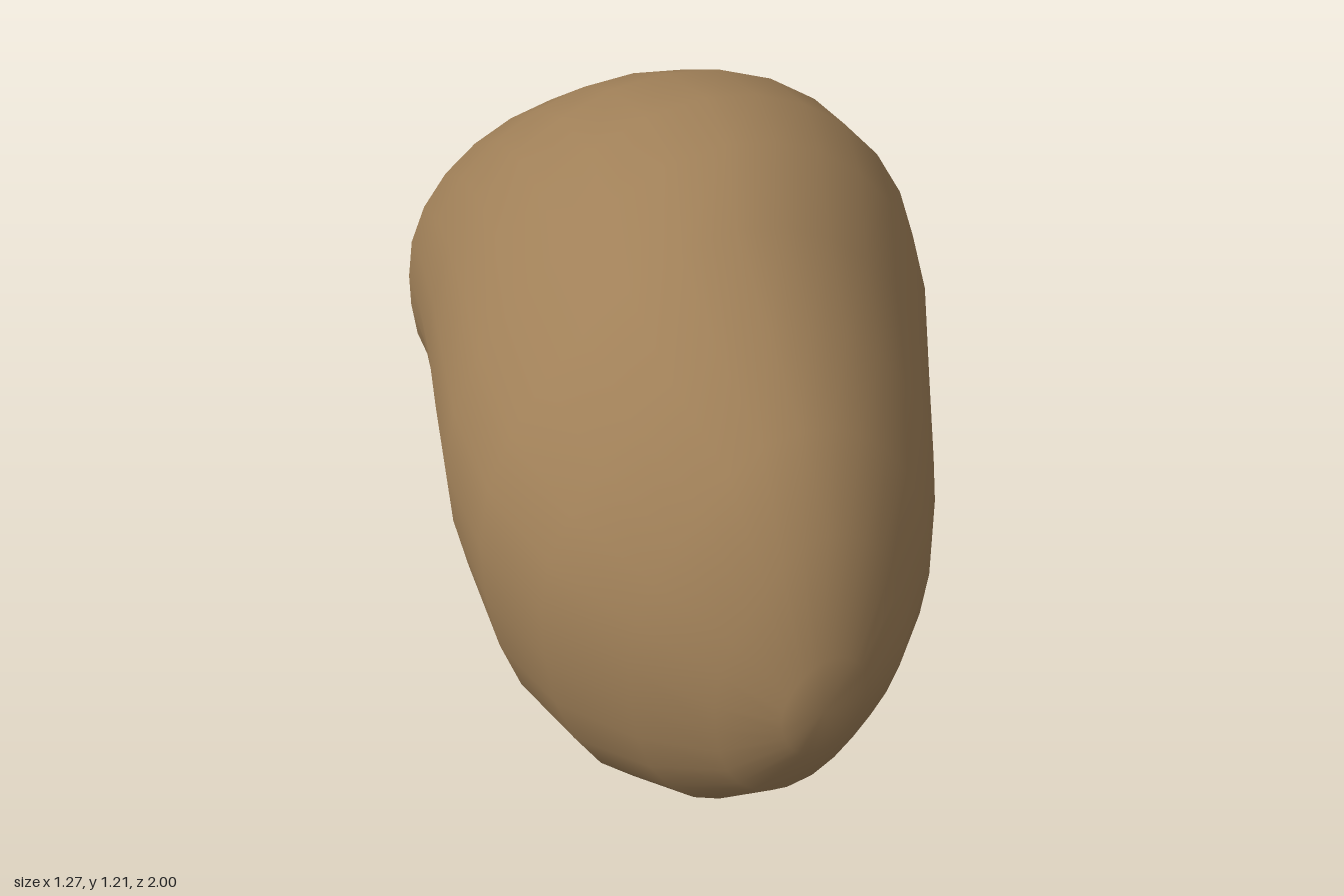
import * as THREE from 'three';

// Cross-sections from front to back: z, the outline's four extreme points
// (x, y of the -x side, top, +x side and bottom), then how far the
// upper -x, lower -x and lower +x corners swell out (or flatten, if negative)
const SECTIONS = [
  [0.985, -0.26, 0.41, -0.16, 0.52, -0.08, 0.43, -0.19, 0.31, -0.005, 0, -0.005],
  [0.92, -0.365, 0.43, -0.14, 0.745, 0.035, 0.46, -0.21, 0.188, -0.02, 0.01, -0.02],
  [0.8, -0.485, 0.48, -0.14, 0.9, 0.155, 0.5, -0.24, 0.09, -0.03, 0.015, -0.035],
  [0.63, -0.59, 0.52, -0.12, 1.015, 0.265, 0.54, -0.26, 0.025, -0.035, 0.015, -0.045],
  [0.43, -0.635, 0.56, -0.09, 1.13, 0.37, 0.58, -0.27, 0.002, -0.035, 0.01, -0.04],
  [0.2, -0.62, 0.6, 0, 1.197, 0.49, 0.65, -0.2, 0.05, -0.04, 0.01, -0.035],
  [0, -0.57, 0.63, 0.05, 1.212, 0.575, 0.67, -0.1, 0.12, -0.025, 0.01, -0.035],
  [-0.2, -0.515, 0.65, 0.05, 1.192, 0.628, 0.63, -0.01, 0.19, -0.01, 0.01, -0.035],
  [-0.42, -0.46, 0.64, 0.07, 1.107, 0.632, 0.61, 0.02, 0.235, 0, 0.03, -0.035],
  [-0.66, -0.405, 0.59, 0.07, 0.98, 0.558, 0.62, -0.01, 0.262, 0, 0.05, -0.045],
  [-0.84, -0.305, 0.53, 0.05, 0.815, 0.425, 0.59, -0.04, 0.288, 0, 0.035, -0.035],
  [-0.965, -0.16, 0.49, 0, 0.61, 0.2, 0.52, -0.04, 0.36, 0, 0.01, -0.01],
];
const SIDES = 28;

// Point on a section's outline: four quarter ellipses joining the extremes
function ringPoint(section, t) {
  const [z, xL, yL, xT, yT, xR, yR, xB, yB, upLeft, lowLeft, lowRight] = section;
  const c = Math.cos(t), s = Math.sin(t);
  const right = c > 0, up = s > 0;
  const xMid = up ? xT : xB, yMid = right ? yR : yL;
  const swell = up ? (right ? 0 : upLeft) : (right ? lowRight : lowLeft);
  const push = swell * Math.sin(2 * t) ** 2;
  return [
    xMid + Math.abs(c) * ((right ? xR : xL) - xMid) + push * c,
    yMid + Math.abs(s) * ((up ? yT : yB) - yMid) + push * s,
    z,
  ];
}

// Closed skin through all sections, with a pole at each end
function beanGeometry() {
  const positions = [], indices = [];
  for (const section of SECTIONS) {
    for (let i = 0; i < SIDES; i++) {
      positions.push(...ringPoint(section, i / SIDES * Math.PI * 2));
    }
  }
  const front = SECTIONS.length * SIDES, back = front + 1;
  positions.push(-0.18, 0.415, 1, -0.02, 0.49, -1);
  const last = (SECTIONS.length - 1) * SIDES;
  for (let i = 0; i < SIDES; i++) {
    const j = (i + 1) % SIDES;
    indices.push(front, i, j, back, last + j, last + i);
    for (let r = 0; r < last; r += SIDES) {
      const a = r + i, b = r + j, c = a + SIDES, d = b + SIDES;
      indices.push(a, c, b, b, c, d);
    }
  }
  const geometry = new THREE.BufferGeometry();
  geometry.setAttribute('position', new THREE.Float32BufferAttribute(positions, 3));
  geometry.setIndex(indices);
  geometry.computeVertexNormals();
  return geometry;
}

export function createModel() {
  const brown = new THREE.MeshStandardMaterial({ color: 0xa08058 });
  brown.name = 'earthy brown';

  const body = new THREE.Mesh(beanGeometry(), brown);
  body.name = 'beanBody';

  const model = new THREE.Group();
  model.name = 'bean';
  model.add(body);
  return model;
}
